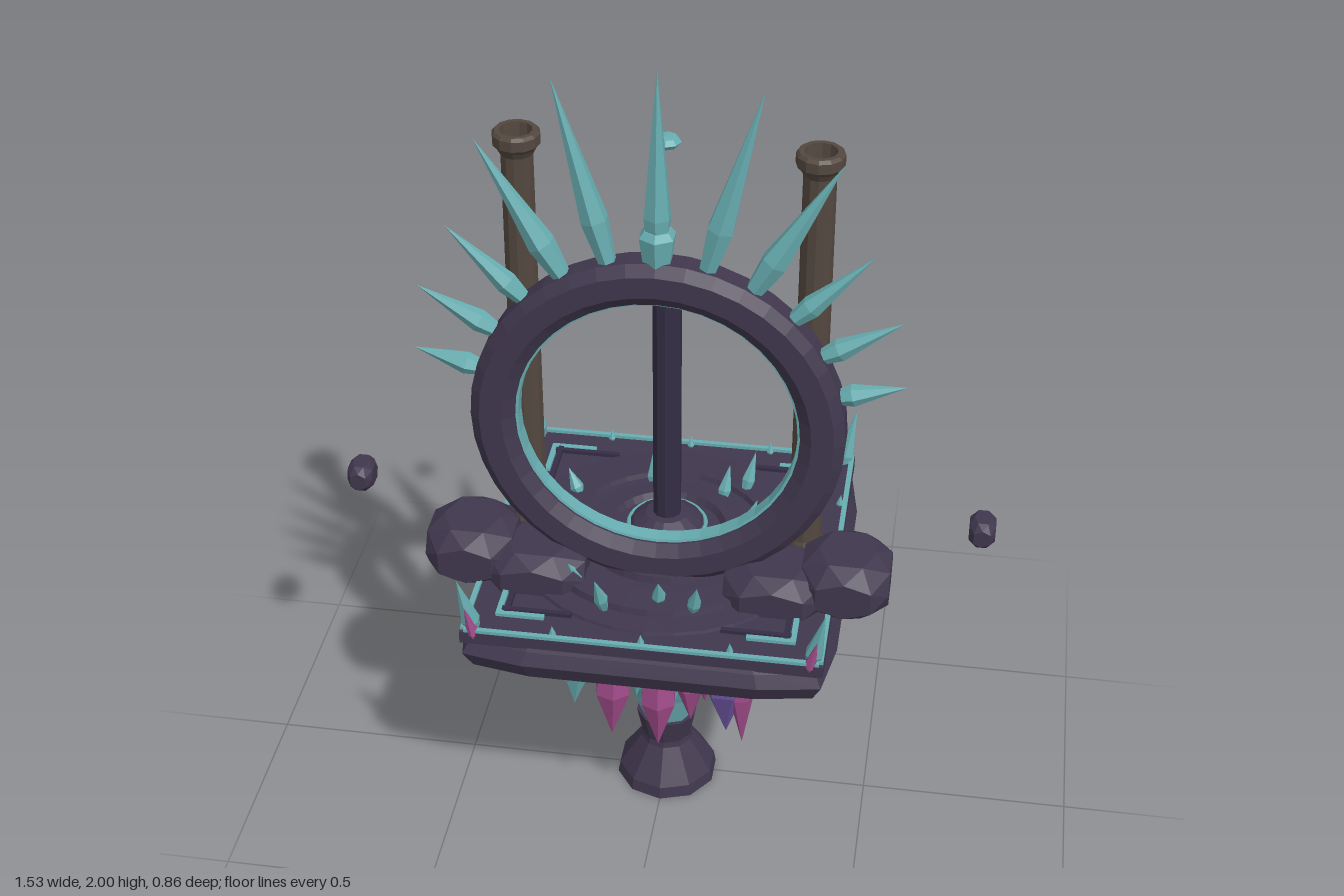
import * as THREE from 'three';

const mat = (name, color) => {
  const m = new THREE.MeshStandardMaterial({ color });
  m.name = name;
  return m;
};

export function createModel() {
  const root = new THREE.Group();
  root.name = 'floatingPortalShrine';
  const stone = mat('darkStone', 0x40374d);
  const rodMat = mat('deepStone', 0x342d45);
  const bronze = mat('oldBronze', 0x53483f);
  const teal = mat('tealCrystal', 0x68aeb2);
  const magenta = mat('magentaCrystal', 0xa04c8a);
  const purple = mat('purpleCrystal', 0x6a529c);

  const flat = (g) => {
    const f = g.index ? g.toNonIndexed() : g;
    f.computeVertexNormals();
    return f;
  };
  const add = (name, geo, m, x = 0, y = 0, z = 0) => {
    const mesh = new THREE.Mesh(geo, m);
    mesh.name = name;
    mesh.position.set(x, y, z);
    root.add(mesh);
    return mesh;
  };
  const lathe = (pts, n, start = 0) =>
    new THREE.LatheGeometry(pts.map((p) => new THREE.Vector2(p[0], p[1])), n, start);
  const box = (name, m, w, h, d, x, y, z) => add(name, new THREE.BoxGeometry(w, h, d), m, x, y, z);

  // Faceted shard from base a to tip b, widest at fraction f
  const up = new THREE.Vector3(0, 1, 0);
  const shard = (name, m, a, b, w, f = 0.25, baseW = 0.55) => {
    const A = new THREE.Vector3(...a);
    const dir = new THREE.Vector3(...b).sub(A);
    const L = dir.length();
    const mesh = add(name, flat(lathe([[0, 0], [w * baseW, 0], [w, L * f], [0, L]], 6)), m, ...a);
    mesh.quaternion.setFromUnitVectors(up, dir.normalize());
    return mesh;
  };

  // Rounded-square slab: a 12-sided lathe pushed out to a bulging square
  const slab = lathe([[0, 0.53], [0.17, 0.535], [0.37, 0.585], [0.41, 0.61], [0.43, 0.655],
    [0.415, 0.685], [0.405, 0.7], [0, 0.7]], 12, Math.PI / 12);
  const sp = slab.attributes.position;
  for (let i = 0; i < sp.count; i++) {
    const x = sp.getX(i), z = sp.getZ(i), r = Math.hypot(x, z);
    const ax = Math.abs(x), az = Math.abs(z);
    const corner = Math.min(ax, az) > 0.5 * Math.max(ax, az);
    sp.setX(i, Math.sign(x) * r * (corner ? 0.945 : ax > az ? 1 : 0.62));
    sp.setZ(i, Math.sign(z) * r * (corner ? 0.945 : az > ax ? 1 : 0.62));
  }
  add('platformSlab', flat(slab), stone);
  box('platformPlate', stone, 0.82, 0.03, 0.82, 0, 0.705, 0);

  // Trim, corner brackets and studs
  for (const s of [-1, 1]) {
    box('edgeTrim', teal, 0.8, 0.01, 0.012, 0, 0.723, s * 0.403);
    box('edgeTrim', teal, 0.012, 0.01, 0.8, s * 0.403, 0.723, 0);
    for (const t of [-1, 1]) {
      box('bracket', teal, 0.11, 0.01, 0.013, s * 0.285, 0.723, t * 0.335);
      box('bracket', teal, 0.013, 0.01, 0.11, s * 0.335, 0.723, t * 0.285);
      box('bracketRail', rodMat, 0.16, 0.012, 0.012, s * 0.25, 0.723, t * 0.318);
      box('bracketRail', rodMat, 0.012, 0.012, 0.16, s * 0.318, 0.723, t * 0.25);
      shard('cornerShard', teal, [s * 0.38, 0.7, t * 0.38], [s * 0.41, 0.862, t * 0.405], 0.022);
      shard('cornerShardSmall', magenta, [s * 0.375, 0.69, t * 0.395], [s * 0.395, 0.79, t * 0.41], 0.016);
    }
    for (const k of [-0.2, 0, 0.2]) {
      shard('edgeStud', teal, [k, 0.715, s * 0.39], [k, 0.75, s * 0.393], 0.009);
      shard('edgeStud', teal, [s * 0.39, 0.715, k], [s * 0.393, 0.75, k], 0.009);
    }
  }

  // Stepped round dais with grooves
  add('dais', flat(lathe([[0.36, 0.715], [0.355, 0.727], [0.305, 0.73], [0.3, 0.745], [0.235, 0.75],
    [0.23, 0.738], [0.195, 0.738], [0.19, 0.755], [0.14, 0.76], [0.13, 0.745], [0, 0.745]], 32)), stone);
  add('hub', flat(lathe([[0.1, 0.74], [0.095, 0.765], [0.08, 0.785], [0.05, 0.805], [0, 0.81]], 16)), stone);
  const hubRing = add('hubRing', new THREE.TorusGeometry(0.09, 0.006, 5, 32), teal, 0, 0.772, 0);
  hubRing.rotation.x = Math.PI / 2;

  // Small shards growing from the dais, leaning outward
  [[-0.03, -0.26], [-0.06, -0.19], [0.11, -0.155], [0.16, -0.195], [-0.23, -0.125], [0.18, -0.055],
    [0.26, -0.05], [-0.18, 0.03], [-0.17, 0.2], [0.02, 0.25], [0.1, 0.27], [-0.1, 0.29]].forEach(([x, z], i) => {
    shard('daisShard', teal, [x, 0.73, z], [x * 1.14, 0.8 + 0.013 * (i % 4), z * 1.14], 0.017, 0.35);
  });

  // Centre rod and floating gem
  add('centreRod', flat(new THREE.CylinderGeometry(0.033, 0.033, 0.625, 10)), rodMat, 0, 1.1025, 0);
  add('floatingGem', flat(lathe([[0, -0.013], [0.022, -0.011], [0.031, 0], [0.022, 0.011], [0, 0.013]], 8)),
    teal, 0, 1.772, 0);

  // Hollow columns
  const column = flat(lathe([[0.03, 0.72], [0.05, 0.72], [0.05, 0.745], [0.038, 0.775], [0.036, 1.72],
    [0.044, 1.735], [0.053, 1.745], [0.053, 1.768], [0.047, 1.775], [0.036, 1.775], [0.03, 1.7], [0.03, 0.72]], 12));
  for (const s of [-1, 1]) add('column', column, bronze, s * 0.325, 0, 0);

  // Portal ring with inner teal lining
  const CY = 1.147, CZ = 0.135;
  const ring = add('portalRing', flat(lathe([[0.345, -0.046], [0.395, -0.046], [0.418, -0.025], [0.418, 0.025],
    [0.395, 0.046], [0.345, 0.046], [0.318, 0.025], [0.318, -0.025], [0.345, -0.046]], 40)), stone, 0, CY, CZ);
  ring.rotation.x = Math.PI / 2;
  const lining = add('ringLining', flat(lathe([[0.32, -0.02], [0.32, 0.02], [0.312, 0.018],
    [0.312, -0.018], [0.32, -0.02]], 40)), teal, 0, CY, CZ);
  lining.rotation.x = Math.PI / 2;

  // Crown of spikes every fifteen degrees
  const tips = [0.853, 0.85, 0.775, 0.65, 0.61, 0.563];
  tips.forEach((r, i) => {
    for (const s of i ? [-1, 1] : [1]) {
      const a = s * i * Math.PI / 12;
      const at = (q) => [q * Math.sin(a), CY + q * Math.cos(a), CZ];
      shard('crownSpike', teal, at(0.4), at(r), i < 3 ? 0.031 : 0.025, 0.26, 0.6);
    }
  });
  add('crownCollar', flat(lathe([[0, 1.55], [0.033, 1.555], [0.042, 1.62], [0.03, 1.635], [0, 1.64]], 6)), teal, 0, 0, CZ);

  // Boulders bracing the ring, and floating rocks
  const rock = (name, x, y, z, w, h, d) => {
    const g = new THREE.IcosahedronGeometry(1, 1);
    const p = g.attributes.position;
    const squash = (v) => Math.max(-0.8, Math.min(0.8, v)) / 0.8;
    for (let i = 0; i < p.count; i++) p.setXYZ(i, squash(p.getX(i)) * w, squash(p.getY(i)) * h, squash(p.getZ(i)) * d);
    add(name, flat(g), stone, x, y, z);
  };
  for (const s of [-1, 1]) {
    rock('outerBoulder', s * 0.435, 0.768, 0.13, 0.1, 0.072, 0.105);
    rock('innerBoulder', s * 0.275, 0.745, 0.155, 0.115, 0.062, 0.1);
    rock('floatingRock', s * 0.733, 0.835, 0, 0.03, 0.034, 0.042);
    box('underBlock', stone, 0.13, 0.145, 0.165, s * 0.215, 0.462, 0);
  }

  // Pedestal foot and crystal core
  add('pedestal', flat(lathe([[0, 0], [0.125, 0], [0.12, 0.03], [0.065, 0.115], [0.062, 0.13],
    [0.076, 0.2], [0, 0.205]], 10)), stone);
  add('crystalCore', flat(lathe([[0, 0.2], [0.068, 0.2], [0.092, 0.28], [0.115, 0.33], [0.13, 0.4],
    [0.17, 0.47], [0.18, 0.54], [0, 0.54]], 9)), teal);

  // Hanging crystals: x, z, tip height, width, colour
  const T = teal, M = magenta, P = purple;
  [[-0.27, 0.08, 0.41, 0.035, T], [-0.2, 0.17, 0.33, 0.04, T], [-0.1, 0.22, 0.29, 0.045, M],
    [0.015, 0.24, 0.29, 0.045, M], [0.09, 0.22, 0.36, 0.035, M], [0.17, 0.18, 0.3, 0.05, P],
    [0.265, 0.12, 0.39, 0.045, M], [0.21, 0.19, 0.28, 0.03, M], [0.2, 0.14, 0.33, 0.042, P],
    [0.2, -0.13, 0.34, 0.045, M], [0.15, -0.21, 0.29, 0.04, P], [0.08, -0.25, 0.32, 0.045, P],
    [0.01, -0.22, 0.37, 0.042, T], [-0.06, -0.24, 0.35, 0.045, M], [-0.13, -0.2, 0.34, 0.042, P],
    [-0.2, -0.16, 0.3, 0.042, M], [-0.24, -0.11, 0.42, 0.035, T], [0.25, -0.1, 0.42, 0.03, T],
    [-0.23, 0.12, 0.42, 0.035, M]].forEach(([x, z, tip, w, m]) => {
    shard('hangingCrystal', m, [x * 0.95, 0.56, z * 0.95], [x, tip, z], w, 0.5, 0.75);
  });
  // Inner cluster around the core
  for (let i = 0; i < 12; i++) {
    const a = (i + 0.4) * Math.PI / 6, c = Math.cos(a), s = Math.sin(a), r = 0.15 + 0.015 * (i % 2);
    shard('innerCrystal', i % 4 === 1 ? M : T, [s * r, 0.54, c * r],
      [s * r, 0.31 + 0.025 * (i % 3), c * r], 0.034, 0.5, 0.75);
  }
  return root;
}
